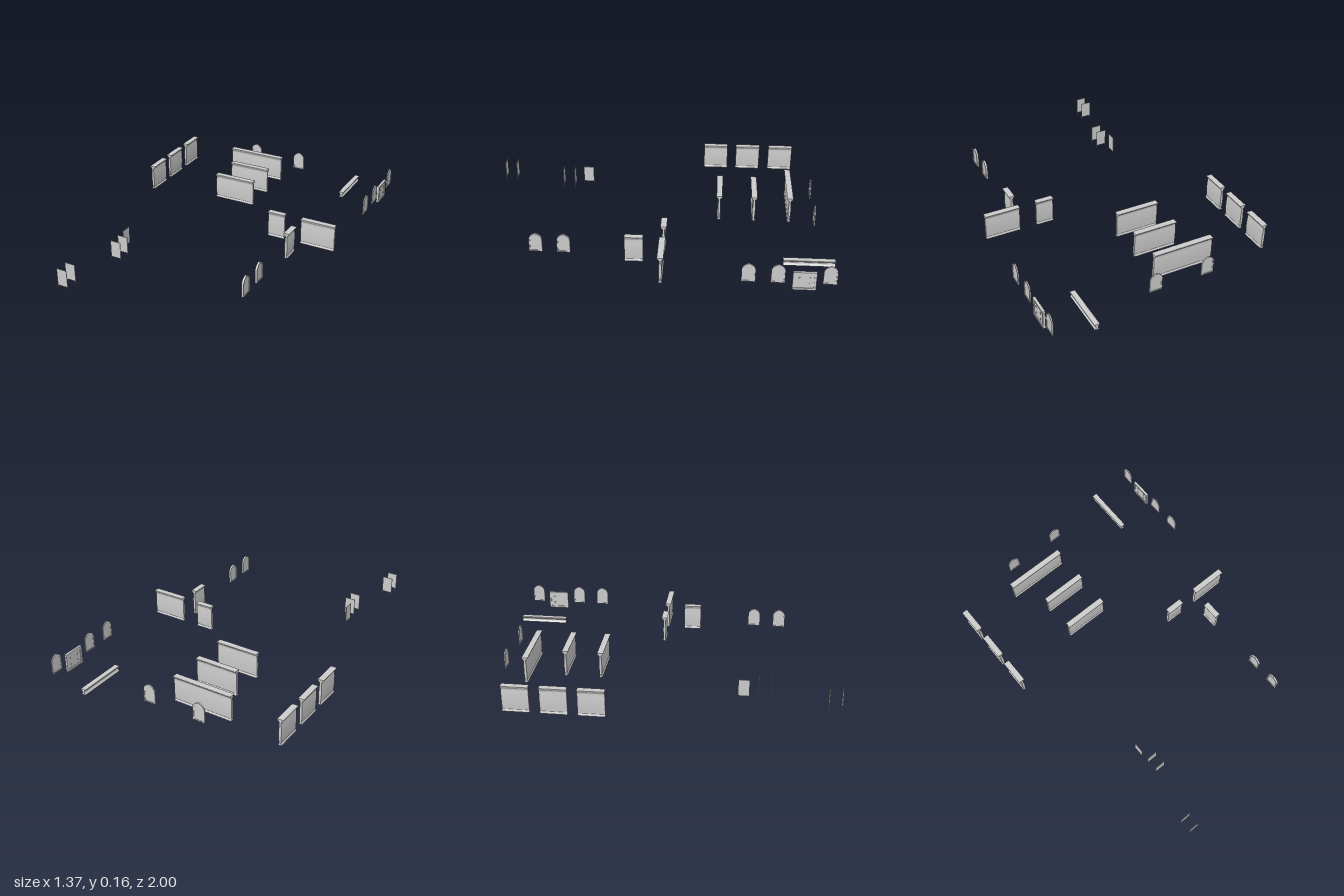
import * as THREE from 'three';
import { toCreasedNormals } from 'three/addons/utils/BufferGeometryUtils.js';

const mat = new THREE.MeshStandardMaterial({ color: 0xcccccc, side: THREE.DoubleSide });

// Extrudes a shape by depth, centred on its own thickness
function slab(shape, depth) {
  const g = new THREE.ExtrudeGeometry(shape, { depth, bevelEnabled: false, curveSegments: 8 });
  g.translate(0, 0, -depth / 2);
  return toCreasedNormals(g, 0.5);
}

function add(parent, name, geometry, x = 0, y = 0, z = 0) {
  const m = new THREE.Mesh(geometry, mat);
  m.name = name;
  m.position.set(x, y, z);
  parent.add(m);
  return m;
}

// Symmetric cross-section from [halfWidth, height] points
function section(points) {
  const right = points.map(([w, y]) => new THREE.Vector2(w, y));
  const left = points.map(([w, y]) => new THREE.Vector2(-w, y)).reverse();
  return new THREE.Shape([...right, ...left]);
}

// Wall: foot, softly bulging body and flared cap
function wallSection() {
  const pts = [[0.01, 0], [0.009, 0.006]];
  for (let i = 0; i <= 16; i++) {
    const t = i / 16;
    pts.push([0.005 + 0.003 * Math.sin(Math.PI * t), 0.012 + 0.124 * t]);
  }
  pts.push([0.007, 0.141], [0.0165, 0.151], [0.0175, 0.157]);
  return section(pts);
}

// Low rail: foot and cap joined by a narrow waist
function railSection() {
  return section([[0.012, 0], [0.012, 0.003], [0.006, 0.012], [0.006, 0.021], [0.015, 0.029], [0.015, 0.035]]);
}

// Pointed window outline with base at y = 0
function archPath(w, spring, top, inset, Type) {
  const h = w / 2 - inset;
  const p = new Type();
  p.moveTo(-h, inset);
  p.lineTo(h, inset);
  p.lineTo(h, spring);
  p.quadraticCurveTo(h * 0.85, spring + (top - inset - spring) * 0.7, 0, top - inset);
  p.quadraticCurveTo(-h * 0.85, spring + (top - inset - spring) * 0.7, -h, spring);
  p.closePath();
  return p;
}

function makeArch(depth) {
  const g = new THREE.Group();
  g.name = 'archedWindow';
  const frame = archPath(0.074, 0.078, 0.113, 0, THREE.Shape);
  frame.holes.push(archPath(0.074, 0.078, 0.113, 0.007, THREE.Path));
  add(g, 'windowFrame', slab(frame, depth));
  add(g, 'windowPane', slab(archPath(0.074, 0.078, 0.113, 0.006, THREE.Shape), depth * 0.4));
  return g;
}

// Thin screen on two corner pins
function makeScreen() {
  const g = new THREE.Group();
  g.name = 'screen';
  add(g, 'screenPanel', new THREE.BoxGeometry(0.063, 0.1, 0.003), 0, 0.065, 0);
  for (const s of [-1, 1])
    add(g, 'screenLeg', new THREE.BoxGeometry(0.003, 0.016, 0.003), s * 0.03, 0.008, 0);
  return g;
}

// Framed panel with a recessed field and small studs
function makeFramedPanel() {
  const g = new THREE.Group();
  g.name = 'framedPanel';
  const w = 0.125, b = 0.012;
  add(g, 'panelField', new THREE.BoxGeometry(w - b, 0.1, 0.006), 0, 0.055, 0);
  for (const y of [0.006, 0.104]) add(g, 'panelRail', new THREE.BoxGeometry(w, b, 0.015), 0, y, 0);
  for (const s of [-1, 1]) {
    add(g, 'panelStile', new THREE.BoxGeometry(b, 0.086, 0.013), s * (w - b) / 2, 0.055, 0);
    for (const y of [0.035, 0.075])
      add(g, 'panelStud', new THREE.BoxGeometry(0.008, 0.008, 0.011), s * 0.028, y, 0);
  }
  return g;
}

export function createModel() {
  const root = new THREE.Group();
  root.name = 'scatteredWallSet';
  const place = (o, x, y, z, turn) => {
    o.position.set(x, y, z);
    if (turn) o.rotation.y = Math.PI / 2;
    root.add(o);
  };

  // Walls running along x: [x centre, z, length]
  for (const [x, z, len] of [
    [-0.18, -0.773, 0.36], [-0.128, -0.565, 0.257], [-0.128, -0.361, 0.257],
    [0.307, -0.053, 0.104], [0.565, -0.053, 0.207],
  ]) add(root, 'wall', slab(wallSection(), len), x, 0, z).rotation.y = Math.PI / 2;

  // Walls running along z
  for (const [x, z, len] of [
    [-0.672, -0.747, 0.15], [-0.672, -0.539, 0.15], [-0.672, -0.334, 0.15], [0.461, 0.104, 0.103],
  ]) add(root, 'wall', slab(wallSection(), len), x, 0, z);

  // Low rail
  add(root, 'lowRail', slab(railSection(), 0.285), 0.447, 0, -0.8575);

  // Arched windows: [x, z, turned, thickness]
  for (const [x, z, turn, d] of [
    [0.063, -0.911, false, 0.007], [-0.249, -0.911, false, 0.007],
    [0.679, -0.945, true, 0.007], [0.679, -0.673, true, 0.007], [0.679, -0.518, true, 0.007],
    [0.461, 0.492, true, 0.012], [0.461, 0.647, true, 0.012],
  ]) place(makeArch(d), x, 0.04, z, turn);

  place(makeFramedPanel(), 0.677, 0, -0.812, true);

  // Thin screens
  for (const [x, z, turn] of [
    [-0.444, 0.998, false], [-0.444, 0.927, false],
    [-0.366, 0.615, false], [-0.366, 0.545, false], [-0.397, 0.463, true],
  ]) place(makeScreen(), x, 0, z, turn);

  return root;
}
